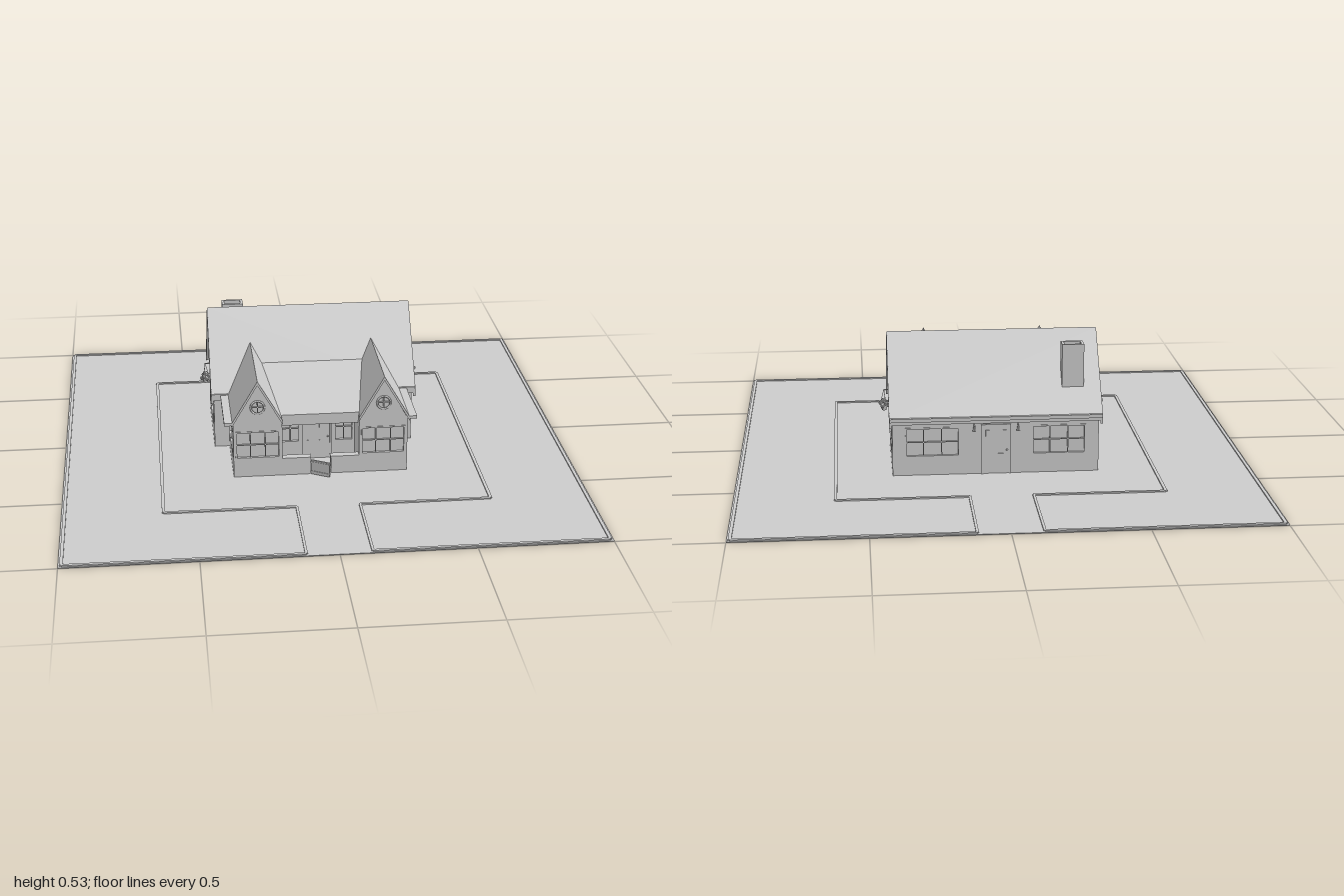
import * as THREE from 'three';
import { ConvexGeometry } from 'three/addons/geometries/ConvexGeometry.js';

const mat = new THREE.MeshStandardMaterial({ color: 0xcccccc, flatShading: true, side: THREE.DoubleSide });
const smooth = new THREE.MeshStandardMaterial({ color: 0xcccccc });
const T = 0.014; // wall thickness

function add(parent, name, geometry, x = 0, y = 0, z = 0, material = mat) {
  const mesh = new THREE.Mesh(geometry, material);
  mesh.name = name;
  mesh.position.set(x, y, z);
  parent.add(mesh);
  return mesh;
}

// Box given by its limits on each axis
function box(parent, name, x0, x1, y0, y1, z0, z1) {
  return add(parent, name, new THREE.BoxGeometry(Math.abs(x1 - x0), y1 - y0, Math.abs(z1 - z0)),
    (x0 + x1) / 2, (y0 + y1) / 2, (z0 + z1) / 2);
}

// Roof plate: a polygon of top corners thickened straight down
function slab(parent, name, corners, t = 0.016) {
  const pts = [];
  for (const [x, y, z] of corners) pts.push(new THREE.Vector3(x, y, z), new THREE.Vector3(x, y - t, z));
  return add(parent, name, new ConvexGeometry(pts));
}

// Framed window with glazing bars; local +z faces outdoors
function windowUnit(parent, [x0, x1, y0, y1], columns, rows) {
  const g = new THREE.Group();
  g.name = 'window';
  parent.add(g);
  const f = 0.006, b = 0.002;
  box(g, 'windowPane', x0, x1, y0, y1, -0.011, -0.009);
  for (const x of [x0, x1 - f]) box(g, 'windowFrame', x, x + f, y0, y1, -T, 0.002);
  for (const y of [y0, y1 - f]) box(g, 'windowFrame', x0, x1, y, y + f, -T, 0.002);
  for (let i = 1; i < columns; i++) {
    const x = x0 + (x1 - x0) * i / columns;
    box(g, 'glazingBar', x - b, x + b, y0, y1, -0.012, -0.003);
  }
  for (let i = 1; i < rows; i++) {
    const y = y0 + (y1 - y0) * i / rows;
    box(g, 'glazingBar', x0, x1, y - b, y + b, -0.012, -0.003);
  }
}

// Wall cut from an outline; windows are [x0, x1, y0, y1, columns, rows]
function wall(parent, name, outline, windows, position, turn = 0, roundHole = null) {
  const g = new THREE.Group();
  g.name = name;
  g.position.set(...position);
  g.rotation.y = turn;
  parent.add(g);
  const shape = new THREE.Shape(outline.map(p => new THREE.Vector2(...p)));
  for (const [x0, x1, y0, y1] of windows) {
    shape.holes.push(new THREE.Path([[x0, y0], [x0, y1], [x1, y1], [x1, y0]].map(p => new THREE.Vector2(...p))));
  }
  if (roundHole) {
    const [x, y, r] = roundHole;
    shape.holes.push(new THREE.Path().absarc(x, y, r, 0, Math.PI * 2, true));
    add(g, 'roundWindowFrame', new THREE.TorusGeometry(r, 0.004, 6, 24), x, y, 0, smooth);
    add(g, 'roundWindowPane', new THREE.CircleGeometry(r, 24), x, y, -0.009);
    box(g, 'glazingBar', x - r, x + r, y - 0.002, y + 0.002, -0.008, -0.002);
    box(g, 'glazingBar', x - 0.002, x + 0.002, y - r, y + r, -0.008, -0.002);
  }
  add(g, 'wallPanel', new THREE.ExtrudeGeometry(shape, { depth: T, bevelEnabled: false, curveSegments: 16 }), 0, 0, -T);
  for (const w of windows) windowUnit(g, w.slice(0, 4), w[4], w[5]);
  return g;
}

const rect = (x0, x1, y0, y1) => [[x0, y0], [x1, y0], [x1, y1], [x0, y1]];

// Panelled door with a knob; local +z faces outdoors
function door(parent, x, z, turn) {
  const g = new THREE.Group();
  g.name = 'door';
  g.position.set(x, 0, z);
  g.rotation.y = turn;
  parent.add(g);
  box(g, 'doorLeaf', -0.05, 0.05, 0.004, 0.195, 0, 0.004);
  for (const s of [-1, 1]) {
    box(g, 'doorJamb', s * 0.05, s * 0.058, 0, 0.203, 0, 0.007);
    for (const [y0, y1] of [[0.02, 0.085], [0.105, 0.18]]) box(g, 'doorPanel', s * 0.008, s * 0.04, y0, y1, 0.003, 0.006);
  }
  box(g, 'doorHead', -0.058, 0.058, 0.195, 0.203, 0, 0.007);
  add(g, 'doorKnob', new THREE.SphereGeometry(0.004, 8, 6), 0.042, 0.1, 0.008, smooth);
}

function hangingBasket(parent, s) {
  const g = new THREE.Group();
  g.name = 'hangingBasket';
  g.position.set(s * 0.425, 0, -0.145);
  parent.add(g);
  box(g, 'bracket', -s * 0.026, s * 0.002, 0.285, 0.289, -0.002, 0.002);
  for (let i = 0; i < 3; i++) {
    const a = i * Math.PI * 2 / 3;
    const chain = new THREE.LineCurve3(new THREE.Vector3(0, 0.287, 0),
      new THREE.Vector3(0.015 * Math.cos(a), 0.23, 0.015 * Math.sin(a)));
    add(g, 'basketChain', new THREE.TubeGeometry(chain, 1, 0.001, 4));
  }
  add(g, 'basketPot', new THREE.CylinderGeometry(0.017, 0.009, 0.025, 10), 0, 0.217, 0);
  for (let i = 0; i < 6; i++) {
    const a = i * Math.PI / 3;
    add(g, 'basketLeaves', new THREE.IcosahedronGeometry(0.009, 0), 0.014 * Math.cos(a), 0.233 - 0.01 * (i % 2), 0.014 * Math.sin(a));
  }
  add(g, 'basketLeaves', new THREE.IcosahedronGeometry(0.012, 0), 0, 0.243, 0);
}

export function createModel() {
  const house = new THREE.Group();
  house.name = 'cottage';

  // Lawn with low edging and a path to both doors
  box(house, 'lawn', -1, 1, 0, 0.003, -1, 1);
  for (const s of [-1, 1]) {
    for (const [r, w] of [[0.62, 0.006], [0.988, 0.006]]) {
      box(house, 'sideEdging', s * r - w, s * r + w, 0, 0.008, -r, r);
      for (const e of [-1, 1]) box(house, 'endEdging', s * 0.12, s * r, 0, 0.008, e * r - w, e * r + w);
    }
    for (const e of [-1, 1]) box(house, 'pathEdging', s * 0.12 - 0.005, s * 0.12 + 0.005, 0, 0.008, e * 0.62, e * 0.988);
  }
  box(house, 'floor', -0.395, 0.395, 0, 0.006, -0.355, 0.045);
  box(house, 'wingFloor', -0.335, 0.335, 0, 0.006, 0.045, 0.335);

  // Main block: long walls
  wall(house, 'backWall', rect(-0.4, 0.4, 0, 0.25),
    [[-0.35, -0.14, 0.075, 0.195, 3, 2], [0.14, 0.35, 0.075, 0.195, 3, 2]], [0, 0, -0.36], Math.PI);
  wall(house, 'frontWall', rect(-0.4, 0.4, 0, 0.25), [], [0, 0, 0.05]);
  door(house, 0, -0.36, Math.PI);

  for (const s of [-1, 1]) {
    const turn = s * Math.PI / 2;
    const span = (z0, z1) => [-s * z0, -s * z1].sort((a, b) => a - b);
    const [a, b] = span(-0.36, 0.05);

    // Gable end with a wide window and an attic window
    wall(house, 'gableEnd', [[a, 0], [b, 0], [b, 0.245], [s * 0.155, 0.505], [a, 0.245]],
      [[...span(-0.285, -0.025), 0.07, 0.2, 3, 2], [...span(-0.19, -0.11), 0.305, 0.4, 2, 2]], [s * 0.4, 0, 0], turn);
    hangingBasket(house, s);

    // Main roof slopes, bargeboards and gutters
    const eave = -0.155 + s * 0.232;
    slab(house, 'mainRoof', [[-0.41, 0.527, -0.155], [0.41, 0.527, -0.155], [0.41, 0.235, eave], [-0.41, 0.235, eave]], 0.02);
    for (const x of [-0.412, 0.402]) {
      slab(house, 'bargeboard', [[x, 0.524, -0.155], [x + 0.01, 0.524, -0.155], [x + 0.01, 0.232, eave], [x, 0.232, eave]], 0.03);
    }
    box(house, 'frontGutter', s * 0.345, s * 0.41, 0.228, 0.242, 0.062, 0.077);

    // Front wing: gabled bay, outer wall and porch cheek
    const [c, d] = span(0.05, 0.34);
    const x0 = Math.min(s * 0.15, s * 0.34), x1 = Math.max(s * 0.15, s * 0.34);
    wall(house, 'bayFront', [[x0, 0], [x1, 0], [x1, 0.225], [s * 0.245, 0.392], [x0, 0.225]],
      [[x0 + 0.008, x1 - 0.008, 0.078, 0.195, 3, 2]], [0, 0, 0.34], 0, [s * 0.245, 0.295, 0.026]);
    wall(house, 'baySide', rect(c, d, 0, 0.235), [[...span(0.075, 0.315), 0.078, 0.195, 3, 2]], [s * 0.34, 0, 0], turn);
    box(house, 'porchCheek', s * 0.15, s * 0.162, 0, 0.235, 0.2, 0.335);
    slab(house, 'bayOuterRoof', [[s * 0.245, 0.407, 0.35], [s * 0.245, 0.407, -0.065], [s * 0.347, 0.233, 0.07], [s * 0.347, 0.233, 0.35]]);
    slab(house, 'bayInnerRoof', [[s * 0.245, 0.407, 0.35], [s * 0.245, 0.407, -0.065], [s * 0.203, 0.338, -0.01], [s * 0.147, 0.237, 0.35]]);
    box(house, 'bayGutter', s * 0.342, s * 0.375, 0.226, 0.238, 0.05, 0.35);

    // Porch parapet either side of the gate
    box(house, 'porchParapet', s * 0.04, s * 0.15, 0, 0.07, 0.315, 0.34);
    box(house, 'porchCap', s * 0.038, s * 0.15, 0.07, 0.076, 0.312, 0.343);

    // Lamps beside the back door
    box(house, 'lampArm', s * 0.083, s * 0.087, 0.2, 0.204, -0.38, -0.36);
    add(house, 'lampShade', new THREE.CylinderGeometry(0.004, 0.008, 0.02, 6), s * 0.085, 0.19, -0.378);
  }
  box(house, 'backGutter', -0.41, 0.41, 0.228, 0.242, -0.396, -0.383);

  // Porch: back wall with door and side windows, roof and beam
  wall(house, 'porchWall', rect(-0.15, 0.15, 0, 0.25),
    [[-0.145, -0.068, 0.075, 0.195, 2, 2], [0.068, 0.145, 0.075, 0.195, 2, 2]], [0, 0, 0.2]);
  door(house, 0, 0.2, 0);
  slab(house, 'porchRoof', [[-0.153, 0.246, 0.312], [0.153, 0.246, 0.312], [0.205, 0.34, -0.012], [-0.205, 0.34, -0.012]]);
  box(house, 'porchBeam', -0.15, 0.15, 0.2, 0.235, 0.295, 0.308);

  // Gate standing ajar
  const gate = new THREE.Group();
  gate.name = 'gate';
  gate.position.set(-0.038, 0, 0.343);
  gate.rotation.y = -Math.PI / 6;
  house.add(gate);
  box(gate, 'gateLeaf', 0, 0.08, 0.006, 0.066, -0.003, 0.003);
  for (const y of [0.012, 0.052]) box(gate, 'gateRail', 0, 0.08, y, y + 0.008, -0.005, 0.005);

  // Hollow chimney
  for (const x of [-0.345, -0.27]) box(house, 'chimneySide', x, x + 0.01, 0.3, 0.5, -0.311, -0.254);
  for (const z of [-0.311, -0.264]) box(house, 'chimneySide', -0.345, -0.26, 0.3, 0.5, z, z + 0.01);
  box(house, 'chimneyFlue', -0.34, -0.265, 0.3, 0.47, -0.306, -0.259);

  return house;
}
